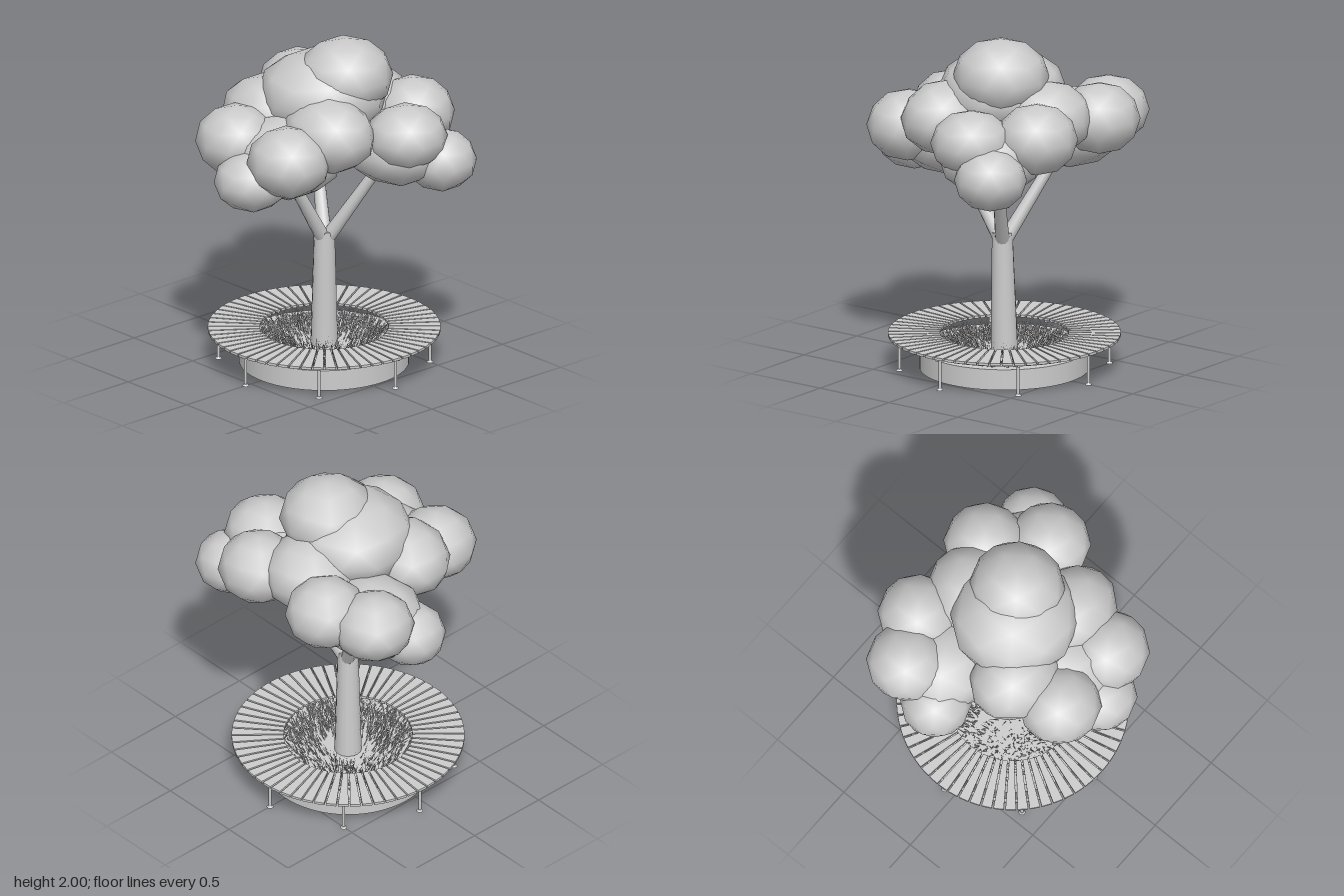
import * as THREE from 'three';
import { mergeGeometries } from 'three/addons/utils/BufferGeometryUtils.js';

const CENTRE_Z = -0.07; // axis of the trunk, planter and bench
const paleGrey = new THREE.MeshStandardMaterial({ color: 0xcccccc, side: THREE.DoubleSide });
paleGrey.name = 'paleGrey';

function add(parent, name, geometry) {
  const mesh = new THREE.Mesh(geometry, paleGrey);
  mesh.name = name;
  parent.add(mesh);
  return mesh;
}

// Tapered round limb between two points
function limb(a, b, ra, rb, sides) {
  const from = new THREE.Vector3(...a), to = new THREE.Vector3(...b);
  const dir = to.clone().sub(from);
  const g = new THREE.CylinderGeometry(rb, ra, dir.length(), sides);
  g.applyQuaternion(new THREE.Quaternion().setFromUnitVectors(new THREE.Vector3(0, 1, 0), dir.normalize()));
  const mid = from.add(to).multiplyScalar(0.5);
  return g.translate(mid.x, mid.y, mid.z);
}

// Ring with a rectangular section
function ring(inner, outer, y0, y1) {
  const p = [[inner, y0], [outer, y0], [outer, y1], [inner, y1], [inner, y0]];
  const walls = [];
  for (let i = 0; i < 4; i++) {
    walls.push(new THREE.LatheGeometry([p[i], p[i + 1]].map(q => new THREE.Vector2(...q)), 64));
  }
  return mergeGeometries(walls);
}

// Thin grass blades leaning outward from the soil
function grassGeometry() {
  let seed = 7;
  const rnd = () => (seed = (seed * 16807) % 2147483647) / 2147483647;
  const pos = [];
  for (let i = 0; i < 1800; i++) {
    const r = 0.09 + 0.34 * Math.sqrt(rnd()), a = rnd() * Math.PI * 2;
    const h = r < 0.29 ? 0.07 + 0.05 * rnd() : 0.05 + 0.035 * rnd();
    const tipR = r + 0.02 + 0.05 * rnd(), tipA = a + (rnd() - 0.5) * 0.25;
    const w = 0.0035, t = rnd() * Math.PI;
    const x = r * Math.sin(a), z = r * Math.cos(a);
    const dx = w * Math.cos(t), dz = w * Math.sin(t);
    pos.push(x - dx, 0.1, z - dz, x + dx, 0.1, z + dz, tipR * Math.sin(tipA), 0.1 + h, tipR * Math.cos(tipA));
  }
  const g = new THREE.BufferGeometry();
  g.setAttribute('position', new THREE.Float32BufferAttribute(pos, 3));
  g.computeVertexNormals();
  return g;
}

export function createModel() {
  const model = new THREE.Group();
  model.name = 'treeWithBench';

  // Planter wall, soil and grass
  const base = new THREE.Group();
  base.name = 'planterAndBench';
  base.position.z = CENTRE_Z;
  model.add(base);
  add(base, 'planterWall', ring(0.375, 0.49, 0, 0.122));
  add(base, 'soil', new THREE.CylinderGeometry(0.378, 0.378, 0.008, 48).translate(0, 0.104, 0));
  add(base, 'grass', grassGeometry());

  // Round bench of tapered slats
  const slatShape = new THREE.Shape([[-0.0145, 0.37], [0.0145, 0.37], [0.03, 0.67], [-0.03, 0.67]]
    .map(p => new THREE.Vector2(...p)));
  const slat = new THREE.ExtrudeGeometry(slatShape, { depth: 0.015, bevelEnabled: false });
  slat.rotateX(Math.PI / 2).translate(0, 0.21, 0);
  const slats = [];
  for (let i = 0; i < 60; i++) slats.push(slat.clone().rotateY((i + 0.5) * Math.PI / 30));
  add(base, 'benchSlats', mergeGeometries(slats));

  // Bench frame: two hoops, with an arm, leg and foot at each eighth
  add(base, 'outerHoop', ring(0.6, 0.62, 0.178, 0.195));
  add(base, 'innerHoop', ring(0.42, 0.435, 0.183, 0.195));
  for (let i = 0; i < 8; i++) {
    const support = new THREE.Group();
    support.name = 'benchSupport';
    support.rotation.y = i * Math.PI / 4;
    base.add(support);
    add(support, 'arm', new THREE.BoxGeometry(0.016, 0.014, 0.25).translate(0, 0.184, 0.515));
    add(support, 'leg', new THREE.CylinderGeometry(0.009, 0.009, 0.18, 12).translate(0, 0.09, 0.61));
    add(support, 'foot', new THREE.CylinderGeometry(0.012, 0.02, 0.012, 16).translate(0, 0.006, 0.61));
  }

  // Trunk and three branches
  add(model, 'trunk', limb([0, 0.095, CENTRE_Z], [0.01, 0.81, -0.062], 0.079, 0.06, 16));
  for (const end of [[-0.28, 1.26, -0.25], [0.3, 1.26, -0.25], [0.04, 1.26, 0.26]]) {
    const start = [0.01 + end[0] * 0.06, 0.77, -0.062 + end[2] * 0.06];
    add(model, 'branch', limb(start, end, 0.042, 0.03, 12));
  }

  // Foliage clumps: centre x, y, z, then radii x, y, z
  const clumps = [
    [0.11, 1.77, -0.13, 0.275, 0.23, 0.285], // peak
    [0, 1.65, -0.055, 0.38, 0.26, 0.375], // crown
    [-0.24, 1.52, 0.15, 0.29, 0.22, 0.25], // front shoulders
    [0.27, 1.52, 0.14, 0.295, 0.22, 0.25],
    [-0.185, 1.44, 0.44, 0.245, 0.21, 0.24], // front pair
    [0.25, 1.42, 0.435, 0.245, 0.21, 0.24],
    [0.05, 1.275, 0.54, 0.22, 0.175, 0.218], // front low
    [0.04, 1.36, 0.27, 0.34, 0.245, 0.33], // undersides above the branches
    [-0.4, 1.38, -0.25, 0.33, 0.23, 0.3],
    [0.4, 1.38, -0.28, 0.31, 0.22, 0.3],
    [-0.565, 1.475, -0.39, 0.235, 0.2, 0.24], // sides
    [0.525, 1.485, -0.235, 0.235, 0.193, 0.24],
    [-0.605, 1.315, -0.14, 0.21, 0.186, 0.205], // sides low
    [0.6, 1.315, -0.43, 0.21, 0.183, 0.21],
    [-0.305, 1.5, -0.525, 0.235, 0.21, 0.238], // back pair
    [0.275, 1.5, -0.515, 0.24, 0.21, 0.238],
    [0, 1.54, -0.36, 0.28, 0.22, 0.285], // back middle
  ];
  const ball = new THREE.IcosahedronGeometry(1, 1).rotateZ(-Math.atan(2 / (1 + Math.sqrt(5))));
  clumps.forEach(([x, y, z, rx, ry, rz]) => {
    const clump = add(model, 'foliageClump', ball);
    clump.position.set(x, y, z);
    clump.scale.set(rx, ry, rz);
  });
  return model;
}
